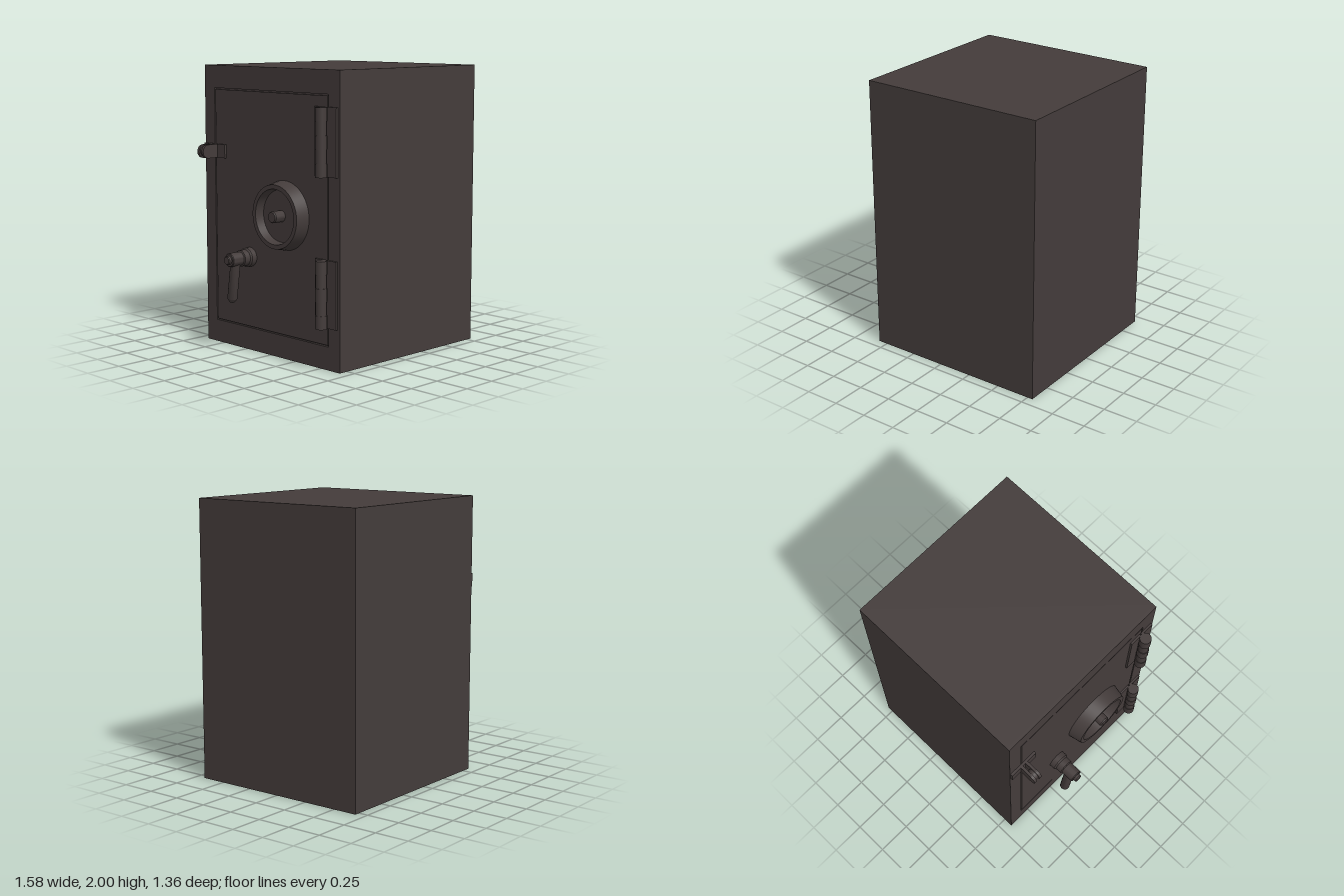
import * as THREE from 'three';
import { toCreasedNormals } from 'three/addons/utils/BufferGeometryUtils.js';

const FACE = -0.57; // x of the door side, which faces -x

export function createModel() {
  const model = new THREE.Group();
  model.name = 'safe';
  const steel = new THREE.MeshStandardMaterial({ color: 0x443c3b });
  steel.name = 'darkSteel';

  const add = (name, geometry, parent = model) => {
    const mesh = new THREE.Mesh(geometry, steel);
    mesh.name = name;
    parent.add(mesh);
    return mesh;
  };
  const group = (name) => {
    const g = new THREE.Group();
    g.name = name;
    model.add(g);
    return g;
  };
  // Box given by its lower and upper corners
  const box = (x0, x1, y0, y1, z0, z1) =>
    new THREE.BoxGeometry(x1 - x0, y1 - y0, z1 - z0)
      .translate((x0 + x1) / 2, (y0 + y1) / 2, (z0 + z1) / 2);
  // Turned part from [radius, height] pairs, sharp at the steps
  const turned = (profile, sides = 32) => toCreasedNormals(
    new THREE.LatheGeometry(profile.map(([r, h]) => new THREE.Vector2(r, h)), sides), 0.6);
  // Turned part standing out from the door along -x
  const knob = (profile, y, z, sides) =>
    turned(profile, sides).rotateZ(Math.PI / 2).translate(FACE, y, z);

  // Cabinet with a frame around the door opening
  add('cabinet', box(FACE + 0.02, 0.79, 0, 2, -0.68, 0.68));
  const frame = new THREE.Shape();
  frame.moveTo(-0.68, 0).lineTo(0.68, 0).lineTo(0.68, 2).lineTo(-0.68, 2).closePath();
  const opening = new THREE.Path();
  opening.moveTo(-0.575, 0.16).lineTo(-0.575, 1.84).lineTo(0.575, 1.84).lineTo(0.575, 0.16).closePath();
  frame.holes.push(opening);
  add('doorFrame', new THREE.ExtrudeGeometry(frame, { depth: 0.02, bevelEnabled: false })
    .rotateY(-Math.PI / 2).translate(FACE + 0.02, 0, 0));
  add('door', box(FACE, FACE + 0.02, 0.17, 1.83, -0.565, 0.565));

  // Hinges: two leaves and a five-knuckle barrel each
  for (const [name, y0] of [['lowerHinge', 0.29], ['upperHinge', 1.3]]) {
    const hinge = group(name);
    const h = 0.458, k = h / 5;
    add('doorLeaf', box(-0.585, FACE, y0, y0 + h, 0.46, 0.548), hinge);
    add('frameLeaf', box(-0.585, FACE, y0, y0 + h, 0.565, 0.66), hinge);
    for (let i = 0; i < 5; i++) {
      const r = i % 2 ? 0.036 : 0.04;
      const z = i % 2 ? 0.535 : 0.56;
      add('knuckle', new THREE.CylinderGeometry(r, r, k, 24)
        .translate(-0.62, y0 + k * (i + 0.5), 0.555), hinge);
      add('knuckleWeb', box(-0.61, FACE, y0 + k * i + 0.003, y0 + k * (i + 1) - 0.003, z, z + 0.018), hinge);
    }
  }

  // Dished dial with a centre button
  const dial = group('dial');
  add('dialRim', knob([[0.24, 0], [0.22, 0.095], [0.19, 0.095], [0.18, 0.03], [0, 0.03]], 1, 0.15, 48), dial);
  add('dialButton', knob([[0.04, 0.03], [0.04, 0.112], [0.034, 0.12], [0, 0.12]], 1, 0.15, 24), dial);

  // Stepped handle spindle with a hanging lever
  const handle = group('handle');
  add('spindle', knob([
    [0.068, 0], [0.068, 0.04], [0.062, 0.047], [0.057, 0.05], [0.057, 0.095], [0.048, 0.1],
    [0.048, 0.192], [0.044, 0.197], [0.03, 0.197], [0.03, 0.215], [0.025, 0.221], [0, 0.221],
  ], 0.67, -0.205), handle);
  const top = new THREE.Vector3(-0.705, 0.67, -0.205);
  const tip = new THREE.Vector3(-0.705, 0.36, -0.25);
  const length = top.distanceTo(tip);
  const lever = add('lever', turned(
    [[0.035, 0], [0.035, length - 0.025], [0.018, length], [0, length]], 24), handle);
  lever.position.copy(top);
  lever.quaternion.setFromUnitVectors(new THREE.Vector3(0, 1, 0), tip.clone().sub(top).normalize());

  // Hasp: base plate, two round-ended lugs and the disc between them
  const hasp = group('hasp');
  add('haspPlate', box(-0.588, FACE, 1.347, 1.443, -0.675, -0.45), hasp);
  const lug = new THREE.Shape();
  lug.moveTo(FACE, 1.347);
  lug.lineTo(FACE, 1.443);
  lug.lineTo(-0.67, 1.443);
  lug.absarc(-0.67, 1.395, 0.048, Math.PI / 2, Math.PI * 1.5, false);
  lug.closePath();
  for (const z of [-0.595, -0.55]) {
    add('haspLug', new THREE.ExtrudeGeometry(lug, { depth: 0.02, bevelEnabled: false, curveSegments: 8 })
      .translate(0, 0, z), hasp);
  }
  add('haspDisc', new THREE.CylinderGeometry(0.04, 0.04, 0.03, 16)
    .rotateX(Math.PI / 2).translate(-0.667, 1.395, -0.5625), hasp);

  return model;
}
